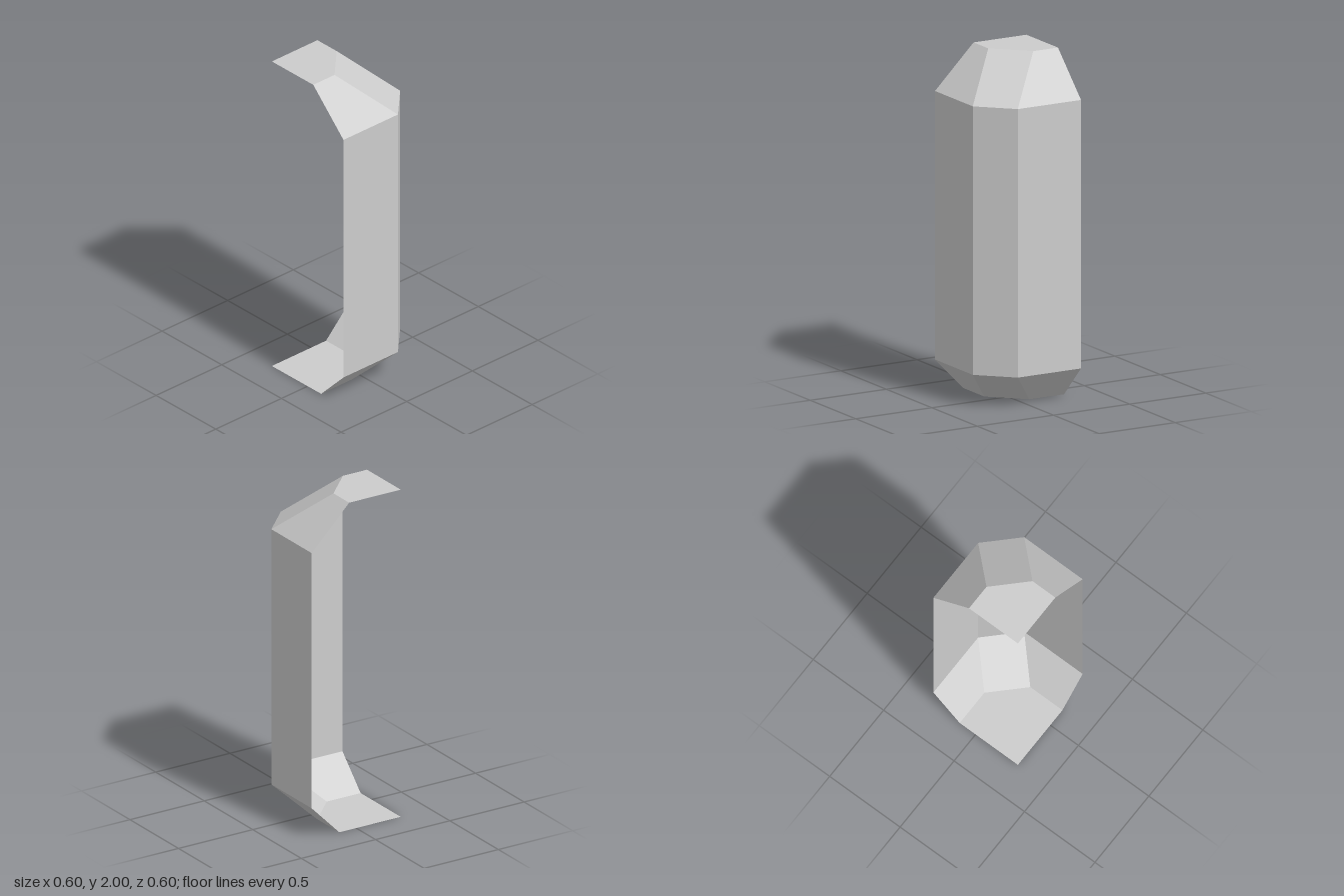
import * as THREE from 'three';

const HALF = 0.3;    // half width of the square plan
const CHAMFER = 0.115; // where the cut corner begins

// Plan outline at height y, pulled inward by an inset; open on the left and front
function outline(y, inset) {
  const edge = HALF - inset, cut = CHAMFER - inset;
  return [
    [-HALF, y, -edge],
    [cut, y, -edge],
    [edge, y, -cut],
    [edge, y, HALF],
  ];
}

// Faceted mesh from a list of triangle corners
function facetMesh(name, corners, material) {
  const geometry = new THREE.BufferGeometry();
  geometry.setAttribute('position', new THREE.Float32BufferAttribute(corners.flat(), 3));
  geometry.computeVertexNormals();
  const mesh = new THREE.Mesh(geometry, material);
  mesh.name = name;
  return mesh;
}

// Strip of flat panels between two outlines
function band(lower, upper) {
  const corners = [];
  for (let i = 0; i < lower.length - 1; i++) {
    corners.push(lower[i], upper[i + 1], lower[i + 1]);
    corners.push(lower[i], upper[i], upper[i + 1]);
  }
  return corners;
}

// Flat cap fanned from the open front-left corner
function cap(path, facingUp) {
  const pivot = [-HALF, path[0][1], HALF];
  const corners = [];
  for (let i = 0; i < path.length - 1; i++) {
    const pair = facingUp ? [path[i + 1], path[i]] : [path[i], path[i + 1]];
    corners.push(pivot, ...pair);
  }
  return corners;
}

export function createModel() {
  const group = new THREE.Group();
  group.name = 'chamferedCornerShell';
  const grey = new THREE.MeshStandardMaterial({ color: 0xcccccc, side: THREE.DoubleSide });
  grey.name = 'light grey';

  const base = outline(0, 0.187);
  const wallFoot = outline(0.19, 0);
  const wallHead = outline(1.75, 0);
  const crown = outline(2, 0.253);

  group.add(
    facetMesh('bottomCap', cap(base, false), grey),
    facetMesh('lowerBevel', band(base, wallFoot), grey),
    facetMesh('walls', band(wallFoot, wallHead), grey),
    facetMesh('upperBevel', band(wallHead, crown), grey),
    facetMesh('topCap', cap(crown, true), grey),
  );
  return group;
}
